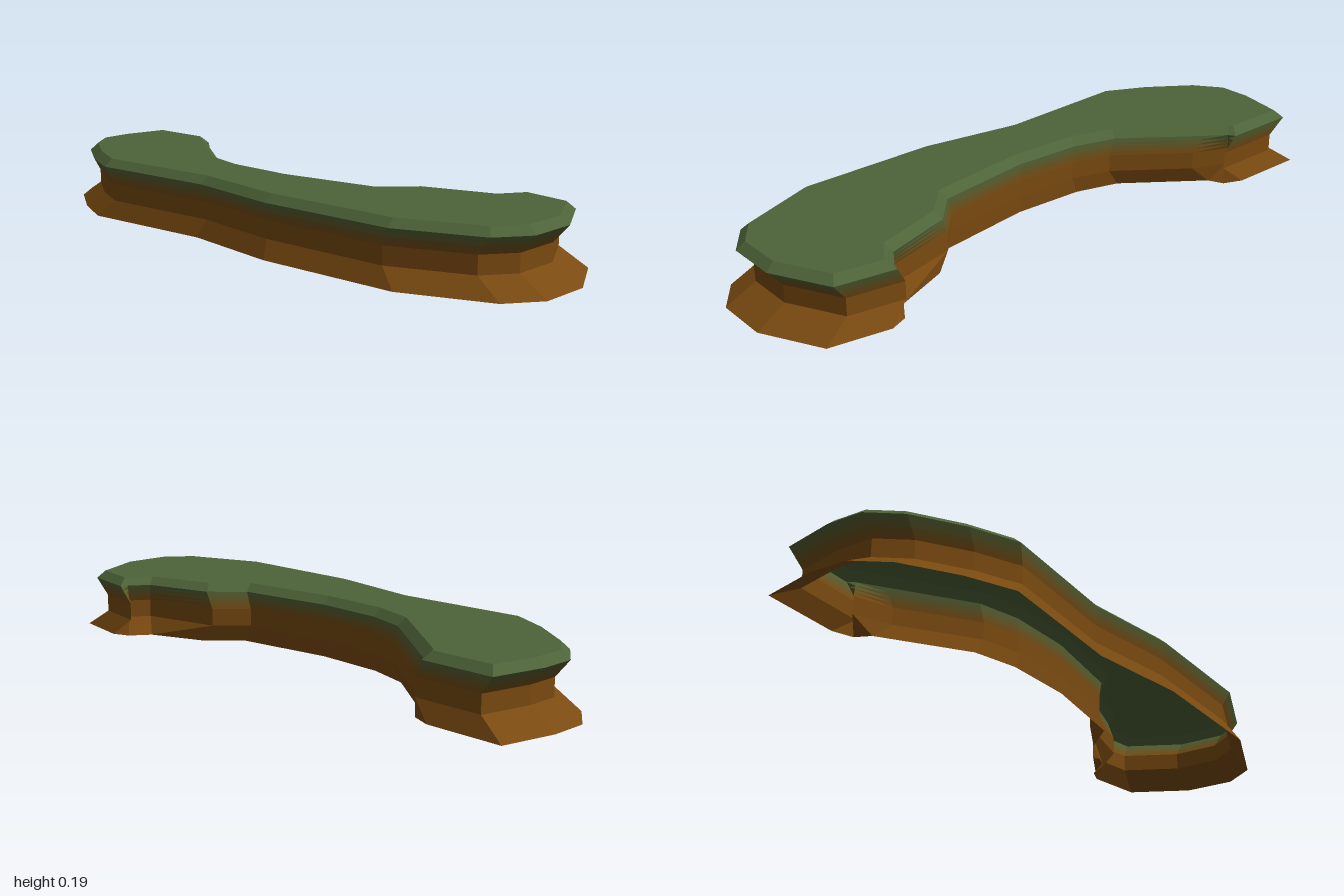
import * as THREE from 'three';

// Ground outline [x, z, pivotX], running left-front-right-back; rings shrink toward the pivot
const OUTLINE = [
  [-0.975, -0.232], [-1, -0.055], [-0.99, 0.065], [-0.91, 0.16], [-0.755, 0.255],
  [-0.605, 0.318], [-0.15, 0.272], [0.19, 0.308], [0.665, 0.28], [0.93, 0.163],
  [1, 0.055], [0.992, -0.115], [0.885, -0.298], [0.692, -0.32], [0.637, -0.295, 1],
  [0.598, -0.228, 1], [0.42, -0.147], [0.33, -0.042], [0, 0.021], [-0.236, 0.023],
  [-0.382, -0.01], [-0.635, -0.176], [-0.66, -0.224, -1], [-0.725, -0.246],
];

const material = (name, color) => {
  const m = new THREE.MeshStandardMaterial({ color, side: THREE.DoubleSide });
  m.name = name;
  return m;
};

const ring = (scale, y) => OUTLINE.map(([x, z, pivot = 0]) =>
  new THREE.Vector3(pivot + (x - pivot) * scale, y, z * scale));

// Moves every edge of a ring inward by the same distance
function inset(points, distance, y) {
  const n = points.length;
  const normal = (p, q) => new THREE.Vector2(p.z - q.z, q.x - p.x).normalize();
  return points.map((p, i) => {
    const a = normal(points[(i + n - 1) % n], p);
    const b = normal(p, points[(i + 1) % n]);
    const k = distance / (1 + a.dot(b));
    return new THREE.Vector3(p.x - (a.x + b.x) * k, y, p.z - (a.y + b.y) * k);
  });
}

// Faceted geometry from a list of triangle corners
function faceted(corners) {
  const g = new THREE.BufferGeometry().setFromPoints(corners);
  g.computeVertexNormals();
  return g;
}

function band(lower, upper) {
  return faceted(lower.flatMap((a, i) => {
    const j = (i + 1) % lower.length;
    return [a, lower[j], upper[j], a, upper[j], upper[i]];
  }));
}

export function createModel() {
  const group = new THREE.Group();
  group.name = 'grassyPlatform';
  const earth = material('earth brown', 0x7a4a10);
  const grass = material('grass green', 0x4d6338);
  const blends = [0x744d15, 0x69531f, 0x5e5a29, 0x536033]
    .map((c, i) => material(`earth to grass ${i + 1}`, c));

  const add = (name, geometry, mat) => {
    const mesh = new THREE.Mesh(geometry, mat);
    mesh.name = name;
    group.add(mesh);
  };

  const base = ring(1, 0);
  const waistLow = ring(0.906, 0.055);
  const waistHigh = ring(0.906, 0.111);
  const rim = ring(0.954, 0.166);
  const top = inset(rim, 0.026, 0.19);

  // Earth skirt and waist
  add('baseSkirt', band(base, waistLow), earth);
  add('waistWall', band(waistLow, waistHigh), earth);

  // Overhang fading from earth to grass
  const between = (t) => waistHigh.map((p, i) => p.clone().lerp(rim[i], t));
  blends.forEach((mat, i) =>
    add(`overhang${i + 1}`, band(between(i / 4), between((i + 1) / 4)), mat));

  // Bevelled grass edge and flat top; the underside stays open
  add('grassBevel', band(rim, top), grass);
  const flat = top.map((p) => new THREE.Vector2(p.x, -p.z));
  const faces = THREE.ShapeUtils.triangulateShape(flat, []);
  add('grassTop', faceted(faces.flatMap((f) => f.map((i) => top[i]))), grass);

  return group;
}
